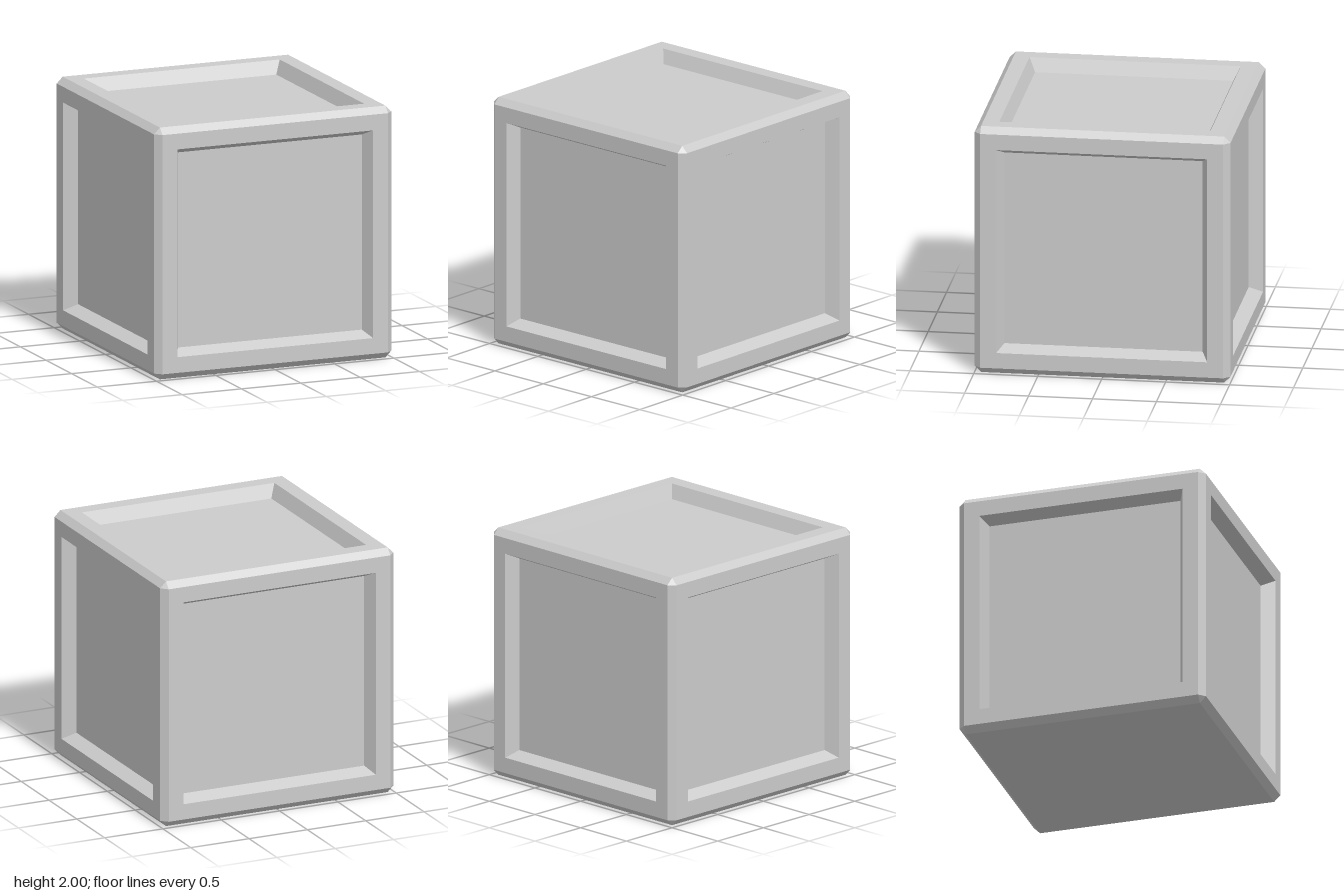
import * as THREE from 'three';
import { mergeGeometries } from 'three/addons/utils/BufferGeometryUtils.js';

const FLAT = 0.95;    // half width of each face inside the chamfer
const DEPTH = 0.105;  // recess depth
const Q = Math.PI / 2;

const material = new THREE.MeshStandardMaterial({ color: 0xcccccc, flatShading: true });

function addMesh(group, geometry, name) {
  const flat = geometry.index ? geometry.toNonIndexed() : geometry;
  flat.computeVertexNormals();
  const mesh = new THREE.Mesh(flat, material);
  mesh.name = name;
  group.add(mesh);
}

// Square face pointing up: a four-sided lathe of [half width, height] pairs
function squareFace(profile) {
  const points = profile.map(([h, y]) => new THREE.Vector2(h * Math.SQRT2, y));
  return new THREE.LatheGeometry(points, 4, Math.PI / 4);
}

const recessed = () => squareFace([[FLAT, 1], [0.825, 1], [0.775, 1 - DEPTH], [0, 1 - DEPTH]]);

export function createModel() {
  const group = new THREE.Group();
  group.name = 'crate';
  const cube = new THREE.Group();
  cube.name = 'crateBody';
  cube.position.y = 1;
  group.add(cube);

  // Recessed panels on the top and four sides, plain base
  addMesh(cube, recessed(), 'topPanel');
  ['frontPanel', 'leftPanel', 'backPanel', 'rightPanel'].forEach((name, i) =>
    addMesh(cube, recessed().rotateX(Q).rotateY(i * Q), name));
  addMesh(cube, squareFace([[FLAT, 1], [0, 1]]).rotateX(Math.PI), 'base');

  // Chamfer strips on the twelve edges, four along each axis
  const strips = [];
  for (let i = 0; i < 4; i++) {
    const strip = () => new THREE.PlaneGeometry(2 * FLAT, (1 - FLAT) * Math.SQRT2)
      .translate(0, 0, (1 + FLAT) / Math.SQRT2)
      .rotateX(Q / 2 + i * Q);
    strips.push(strip(), strip().rotateY(Q), strip().rotateZ(Q));
  }
  addMesh(cube, mergeGeometries(strips), 'edgeChamfers');

  // Small triangles closing the eight corners
  const corners = [];
  for (let i = 0; i < 8; i++) {
    const corner = new THREE.BufferGeometry().setFromPoints([
      new THREE.Vector3(1, FLAT, FLAT),
      new THREE.Vector3(FLAT, 1, FLAT),
      new THREE.Vector3(FLAT, FLAT, 1),
    ]);
    if (i >= 4) corner.rotateX(Math.PI);
    corners.push(corner.rotateY(i * Q));
  }
  addMesh(cube, mergeGeometries(corners), 'cornerChamfers');

  return group;
}
